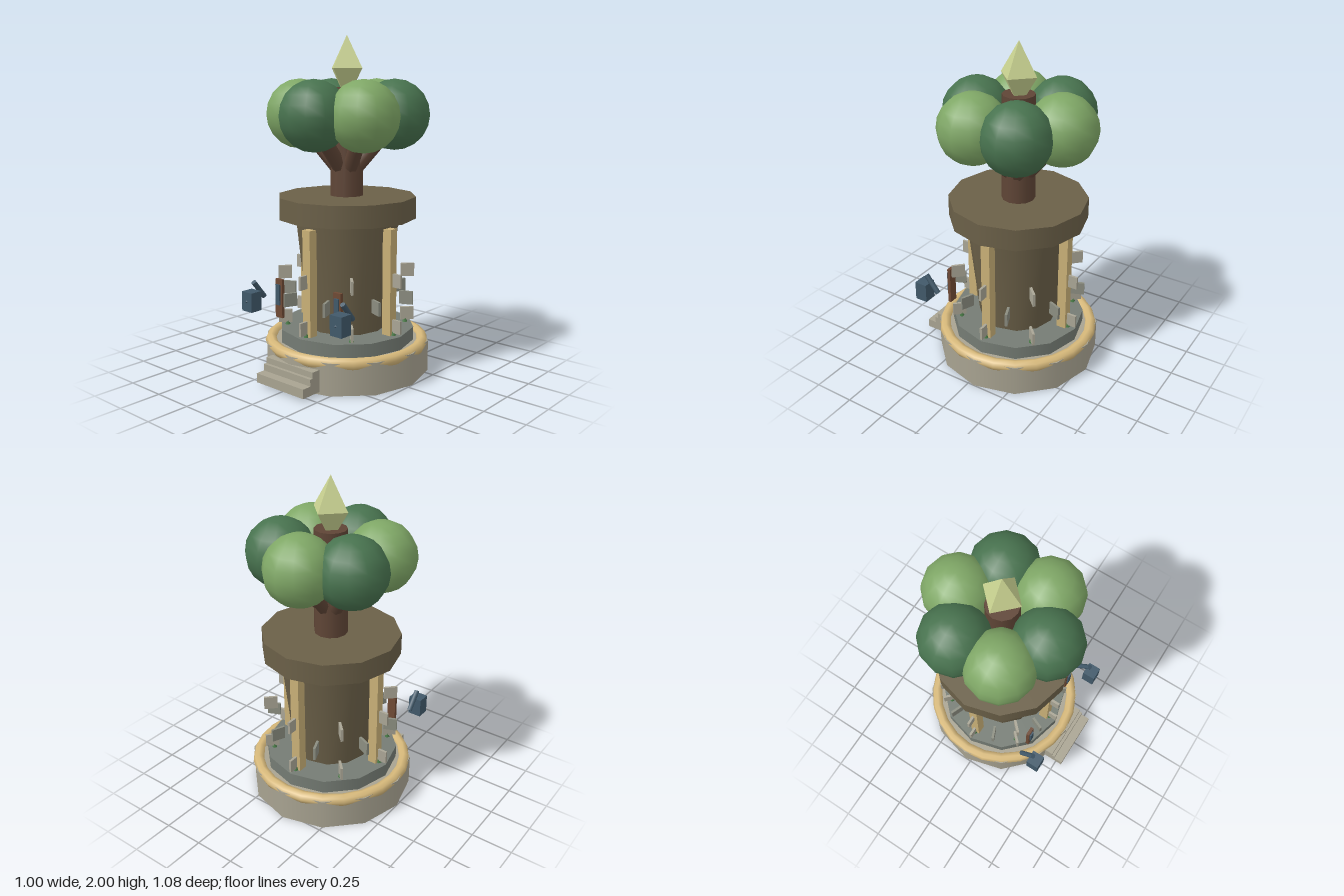
import * as THREE from 'three';

const mat = (color, flatShading = false) => new THREE.MeshStandardMaterial({ color, flatShading });
const M = {
  stone: mat(0xa8a391), slab: mat(0x757c74), bark: mat(0x6b6048), sand: mat(0xd6b87a),
  post: mat(0xc9b077), wood: mat(0x5f4536), door: mat(0x6f4a35), iron: mat(0x41596a),
  plate: mat(0xa9a595), plateDark: mat(0x8b8d80), grass: mat(0x4a7d48),
  leafDark: mat(0x48734f), leafLight: mat(0x7fa766), crystal: mat(0xc8d190, true),
};

export function createModel() {
  const model = new THREE.Group();
  model.name = 'treeTower';
  // Everything round shares one axis, slightly behind the middle
  const tower = new THREE.Group();
  tower.name = 'tower';
  tower.position.z = -0.04;
  model.add(tower);

  const add = (name, geo, material, x = 0, y = 0, z = 0, parent = tower) => {
    const mesh = new THREE.Mesh(geo, material);
    mesh.name = name;
    mesh.position.set(x, y, z);
    parent.add(mesh);
    return mesh;
  };
  const drum = (name, rTop, rBottom, y0, y1, material, sides = 12) =>
    add(name, new THREE.CylinderGeometry(rTop, rBottom, y1 - y0, sides), material, 0, (y0 + y1) / 2);
  const box = (name, w, h, d, material, x, y, z, parent) =>
    add(name, new THREE.BoxGeometry(w, h, d), material, x, y, z, parent);
  // Cylinder between two points
  const rod = (name, a, b, r, material, parent = tower) => {
    const dir = b.clone().sub(a);
    const mesh = add(name, new THREE.CylinderGeometry(r, r, dir.length(), 8), material, 0, 0, 0, parent);
    mesh.position.copy(a).add(b).multiplyScalar(0.5);
    mesh.quaternion.setFromUnitVectors(new THREE.Vector3(0, 1, 0), dir.normalize());
    return mesh;
  };
  // Calls build(angle, sin, cos, index) around the axis, starting at the front
  const around = (n, offset, build) => {
    for (let i = 0; i < n; i++) {
      const a = ((i + offset) / n) * Math.PI * 2;
      build(a, Math.sin(a), Math.cos(a), i);
    }
  };

  // Stacked body
  drum('base', 0.5, 0.5, 0, 0.19, M.stone);
  drum('plinth', 0.41, 0.41, 0.18, 0.27, M.slab);
  drum('towerBody', 0.315, 0.24, 0.25, 0.94, M.bark);
  drum('topRim', 0.415, 0.415, 0.935, 1.065, M.bark);
  add('baseRing', new THREE.TorusGeometry(0.461, 0.036, 8, 24), M.sand, 0, 0.178).rotation.x = Math.PI / 2;

  // Four posts
  around(4, 0, (a, s, c) => {
    box('post', 0.058, 0.63, 0.058, M.post, 0.327 * s, 0.585, 0.327 * c).rotation.y = a;
  });

  // Radial plates in three staggered rows
  [[0.325, 0], [0.465, 0.5], [0.6, 0]].forEach(([y, offset]) => {
    around(8, offset, (a, s, c) => {
      box('wallPlate', 0.015, 0.08, 0.082, offset ? M.plateDark : M.plate, 0.372 * s, y, 0.372 * c).rotation.y = a;
    });
  });

  // Grass tufts on the plinth
  around(8, 0, (a, s, c) => {
    add('grassTuft', new THREE.ConeGeometry(0.016, 0.05, 5), M.grass, 0.36 * s, 0.295, 0.36 * c);
  });

  // Tree: trunk, branches, crown, crystal
  drum('treeTrunk', 0.095, 0.1, 1.06, 1.7, M.wood, 12);
  around(6, 0, (a, s, c, i) => {
    rod('branch', new THREE.Vector3(0.03 * s, 1.2, 0.03 * c), new THREE.Vector3(0.28 * s, 1.5, 0.28 * c), 0.045, M.wood);
    const ball = add('leafBall', new THREE.SphereGeometry(0.206, 12, 10),
      i % 2 ? M.leafLight : M.leafDark, 0.282 * s, 1.545, 0.282 * c);
    ball.rotation.y = a;
  });
  add('crystal', new THREE.OctahedronGeometry(1), M.crystal, 0, 1.81, 0).scale.set(0.117, 0.19, 0.117);

  // Front steps
  [[0.015, 0.07, 0.543], [0.07, 0.11, 0.485], [0.11, 0.145, 0.465]].forEach(([y0, y1, front]) => {
    box('step', 0.37, y1 - y0, front - 0.36, M.stone, 0, (y0 + y1) / 2, (front + 0.36) / 2, model);
  });

  // Shutters and lanterns, mirrored
  for (const side of [-1, 1]) {
    box('shutter', 0.055, 0.235, 0.02, M.door, side * 0.23, 0.458, 0.303, model);
    box('shutterPane', 0.032, 0.125, 0.014, M.iron, side * 0.232, 0.482, 0.316, model);
    const x = side * 0.35;
    box('lantern', 0.083, 0.117, 0.08, M.iron, x, 0.445, 0.42, model);
    rod('lanternArm', new THREE.Vector3(x, 0.452, 0.318), new THREE.Vector3(x, 0.555, 0.402), 0.016, M.iron, model);
    add('lanternKnob', new THREE.OctahedronGeometry(0.009), M.iron, x, 0.447, 0.461, model);
  }
  return model;
}
